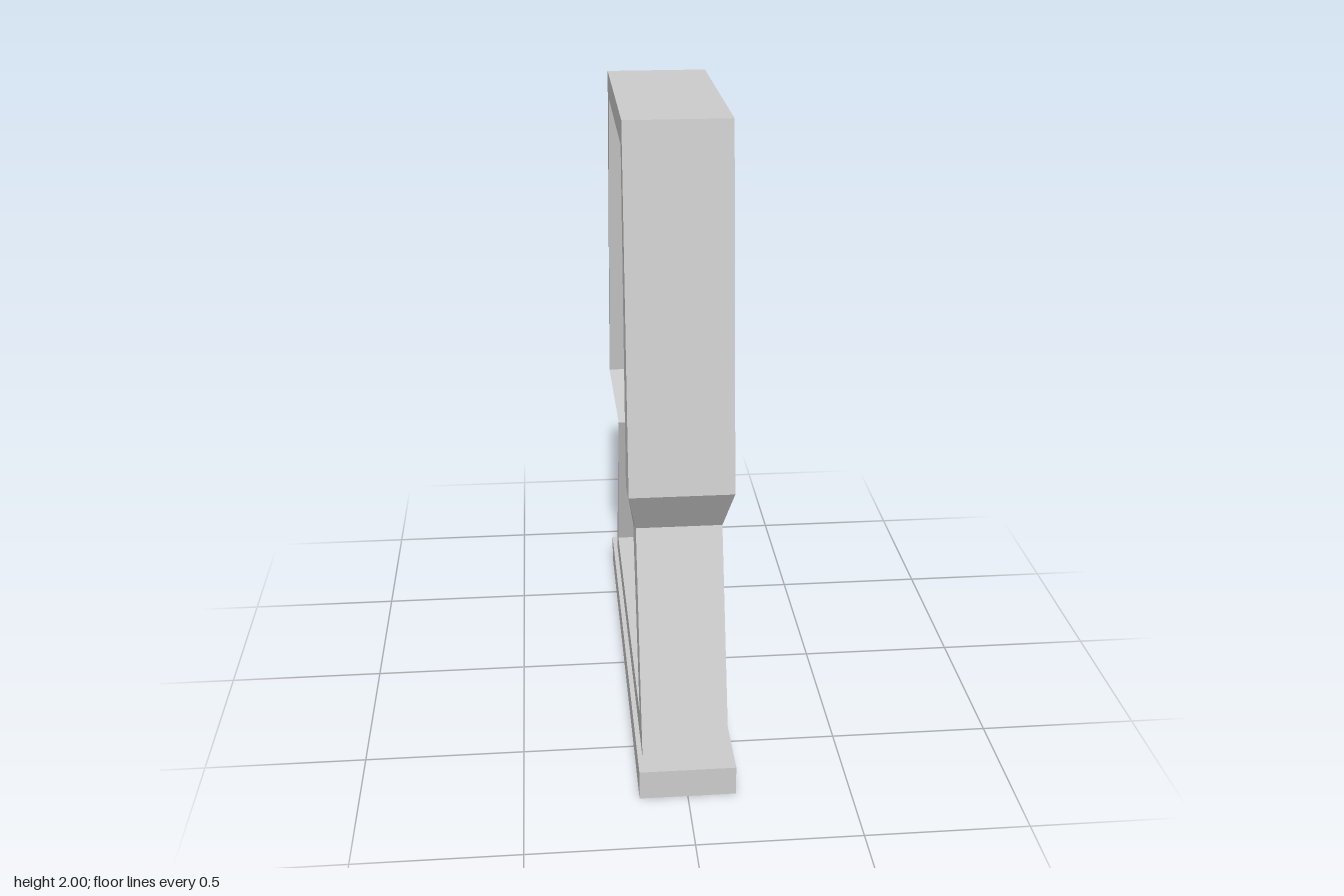
import * as THREE from 'three';

const material = new THREE.MeshStandardMaterial({ color: 0xcccccc, flatShading: true });

// Levels from bottom to top: [height, half depth in z, x of the face]
const outer = [[0.095, 0.695, 0.133], [0.765, 0.46, 0.133], [0.91, 0.548, 0.159], [2, 0.383, 0.159]];
const inner = [[0.185, 0.59, 0.134], [0.75, 0.393, 0.137], [0.92, 0.482, 0.163], [1.92, 0.332, 0.159]];
const recessDepth = 0.115;

// Closed outline: up the front edge, then down the back edge
function ring(levels, xOf) {
  const front = levels.map(([y, z, x]) => [xOf(x), y, z]);
  const back = levels.map(([y, z, x]) => [xOf(x), y, -z]).reverse();
  return [...front, ...back];
}

function panelGeometry() {
  const positions = [];
  const quad = (a, b, c, d) => positions.push(...a, ...b, ...c, ...a, ...c, ...d);
  const rings = [
    ring(outer, x => x),                  // solid face
    ring(outer, x => -x),                 // outer edge of the rim
    ring(inner, x => -x),                 // inner edge of the rim
    ring(inner, x => -x + recessDepth),   // recess floor
  ];
  const n = rings[0].length;

  // Outer sides, rim and recess walls
  for (let r = 0; r < rings.length - 1; r++) {
    for (let j = 0; j < n; j++) {
      const k = (j + 1) % n;
      quad(rings[r][j], rings[r][k], rings[r + 1][k], rings[r + 1][j]);
    }
  }

  // Solid face on the left, recess floor on the right
  const [face, floor] = [rings[0], rings[3]];
  for (let i = 0; i < outer.length - 1; i++) {
    const b = n - 1 - i;
    quad(face[i], face[b], face[b - 1], face[i + 1]);
    quad(floor[i], floor[i + 1], floor[b - 1], floor[b]);
  }

  const geometry = new THREE.BufferGeometry();
  geometry.setAttribute('position', new THREE.Float32BufferAttribute(positions, 3));
  geometry.computeVertexNormals();
  return geometry;
}

export function createModel() {
  const model = new THREE.Group();
  model.name = 'recessedPanelOnPlinth';

  const panel = new THREE.Mesh(panelGeometry(), material);
  panel.name = 'panel';

  const plinth = new THREE.Mesh(new THREE.BoxGeometry(0.296, 0.095, 1.54), material);
  plinth.name = 'plinth';
  plinth.position.y = 0.0475;

  model.add(panel, plinth);
  return model;
}
